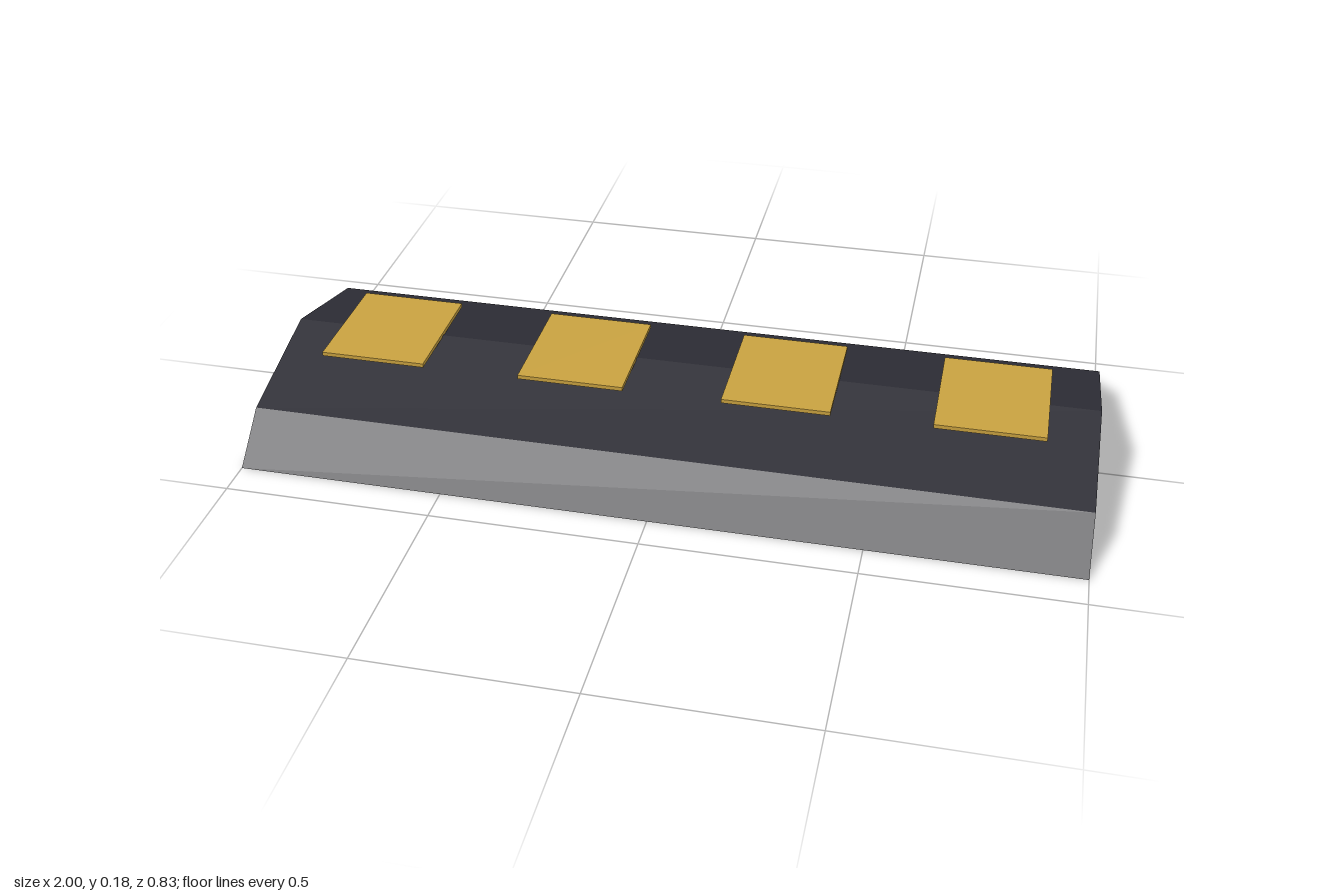
import * as THREE from 'three';

export function createModel() {
  const model = new THREE.Group();
  model.name = 'ridgedBar';

  const charcoal = new THREE.MeshStandardMaterial({ color: 0x2e2e36 });
  charcoal.name = 'charcoal';
  const gold = new THREE.MeshStandardMaterial({ color: 0xc9a240 });
  gold.name = 'gold';

  // Body: faceted ridge profile, extruded along x
  const profile = new THREE.Shape([
    [-0.415, 0], [0.415, 0], [0.3, 0.1], [0, 0.176], [-0.3, 0.1],
  ].map(([z, y]) => new THREE.Vector2(z, y)));
  const bodyGeometry = new THREE.ExtrudeGeometry(profile, { depth: 2, bevelEnabled: false });
  bodyGeometry.translate(0, 0, -1).rotateY(Math.PI / 2);
  const body = new THREE.Mesh(bodyGeometry, charcoal);
  body.name = 'body';
  model.add(body);

  // Four flat plates resting along the ridge
  const plateGeometry = new THREE.BoxGeometry(0.26, 0.01, 0.3);
  for (let i = 0; i < 4; i++) {
    const plate = new THREE.Mesh(plateGeometry, gold);
    plate.name = `plate${i + 1}`;
    plate.position.set(-0.75 + i * 0.5, 0.178, 0);
    model.add(plate);
  }

  return model;
}
